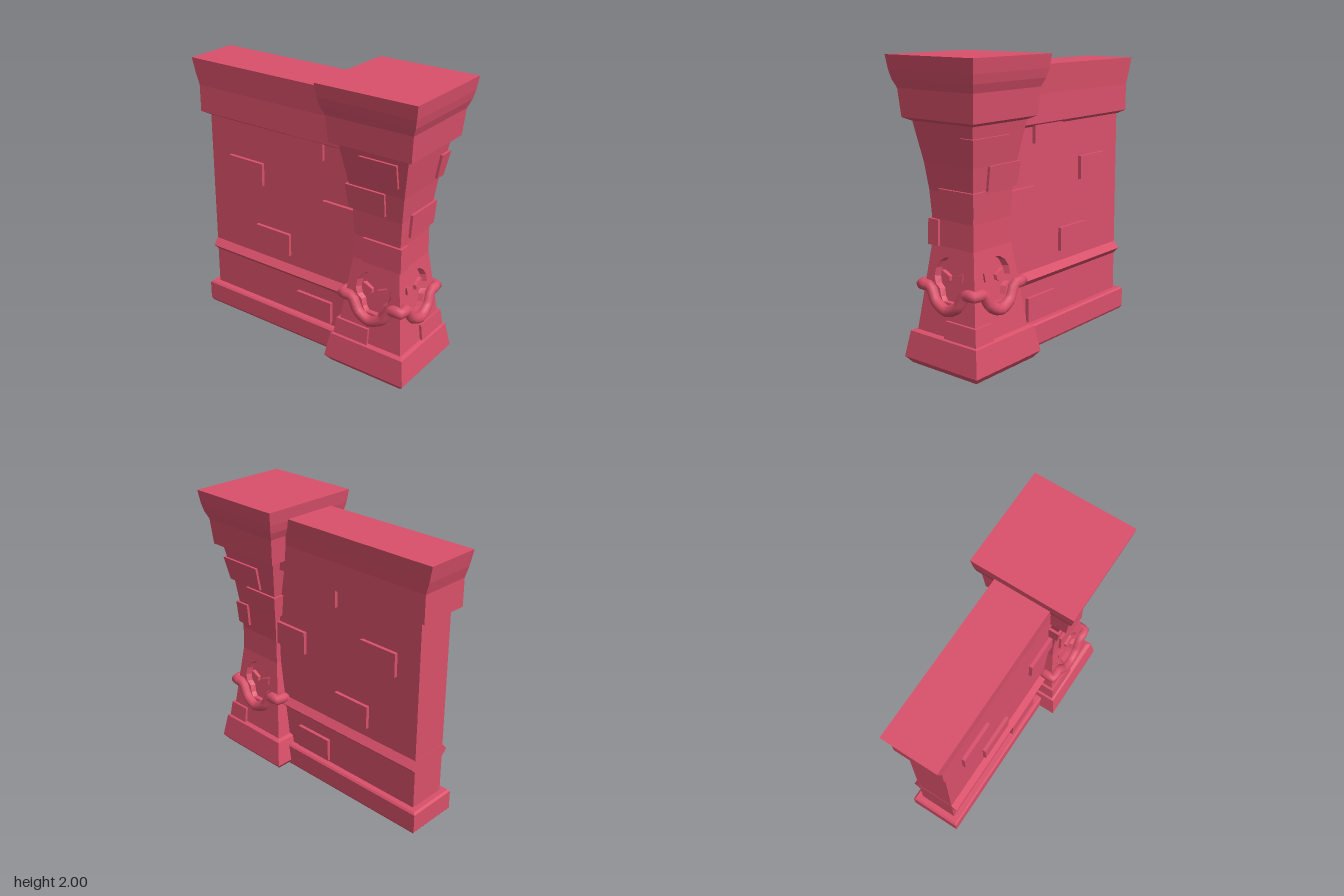
import * as THREE from 'three';

const PX = 0.587; // pillar axis
const mat = new THREE.MeshStandardMaterial({ color: 0xd9506a, flatShading: true });
const smoothMat = new THREE.MeshStandardMaterial({ color: 0xd9506a });

function add(parent, name, geometry, material = mat) {
  const mesh = new THREE.Mesh(geometry, material);
  mesh.name = name;
  parent.add(mesh);
  return mesh;
}

// Stack of rectangles, each [x0, x1, halfDepth, y], skinned and capped
function loft(rings) {
  const pos = [];
  const loops = rings.map(([a, b, h, y]) => [[a, y, h], [b, y, h], [b, y, -h], [a, y, -h]]);
  const quad = (a, b, c, d) => pos.push(...a, ...b, ...c, ...a, ...c, ...d);
  for (let i = 0; i + 1 < loops.length; i++) {
    const lo = loops[i], hi = loops[i + 1];
    for (let k = 0; k < 4; k++) {
      const n = (k + 1) % 4;
      quad(lo[k], lo[n], hi[n], hi[k]);
    }
  }
  const [p, q, r, s] = loops[0];
  quad(s, r, q, p);
  quad(...loops[loops.length - 1]);
  const g = new THREE.BufferGeometry();
  g.setAttribute('position', new THREE.Float32BufferAttribute(pos, 3));
  g.computeVertexNormals();
  return g;
}
const squareLoft = (rows) => loft(rows.map(([w, y]) => [-w, w, w, y]));

// Half width of the pillar shaft at height y
const SHAFT = [[0.256, 0.2], [0.18, 0.8], [0.176, 0.97], [0.186, 1.15], [0.207, 1.33], [0.255, 1.6]];
function shaftWidth(y) {
  for (let i = 1; i < SHAFT.length; i++) {
    const [w0, y0] = SHAFT[i - 1], [w1, y1] = SHAFT[i];
    if (y <= y1) return w0 + (w1 - w0) * (y - y0) / (y1 - y0);
  }
  return SHAFT[SHAFT.length - 1][0];
}

// Block whose outer sides follow the shaft; +-1 means "just outside the surface"
function shaftBlock(y0, y1, xs, zs) {
  const g = new THREE.BoxGeometry(1, 1, 1);
  const p = g.attributes.position;
  for (let i = 0; i < p.count; i++) {
    const y = p.getY(i) < 0 ? y0 : y1;
    const out = shaftWidth(y) + 0.018;
    const at = (range, v) => {
      const r = range[v < 0 ? 0 : 1];
      return Math.abs(r) === 1 ? r * out : r;
    };
    p.setXYZ(i, at(xs, p.getX(i)), y, at(zs, p.getZ(i)));
  }
  g.computeVertexNormals();
  return g;
}

// Extrude a shape in the plane of one sloping pillar side, between two depths
function onSlope(shape, inner, outer) {
  const g = new THREE.ExtrudeGeometry(shape, { depth: 1, bevelEnabled: false });
  const p = g.attributes.position;
  for (let i = 0; i < p.count; i++) {
    const w = shaftWidth(p.getY(i));
    const z = w + (p.getZ(i) < 0.5 ? inner : outer);
    p.setXYZ(i, p.getX(i) * z / w, p.getY(i), z);
  }
  g.computeVertexNormals();
  return g;
}
const points = (list) => list.map(([x, y]) => new THREE.Vector2(x, y));

function createWall() {
  const wall = new THREE.Group();
  wall.name = 'wall';
  add(wall, 'wallBody', loft([[-0.853, PX, 0.14, 0.1], [-0.853, PX, 0.14, 1.6]]));
  add(wall, 'wallBase', loft([
    [-0.89, PX, 0.178, 0], [-0.905, PX, 0.19, 0.02], [-0.905, PX, 0.19, 0.158], [-0.89, PX, 0.178, 0.17]]));
  add(wall, 'wallCap', loft([
    [-0.86, PX, 0.145, 1.515], [-0.905, PX, 0.185, 1.538], [-0.905, PX, 0.185, 1.73],
    [-0.93, PX, 0.19, 1.81], [-0.953, PX, 0.197, 1.92]]));
  add(wall, 'wallLedge', loft([
    [-0.855, 0.42, 0.138, 0.445], [-0.855, 0.42, 0.182, 0.49], [-0.855, 0.42, 0.138, 0.54]]));
  // Bricks run through the wall and stand proud on both faces
  const bricks = [[-0.155, 1.405], [-0.673, 1.09], [0.14, 0.958], [-0.445, 0.613], [-0.085, 0.19]];
  for (const [x, y] of bricks) {
    const brick = add(wall, 'wallBrick', new THREE.BoxGeometry(0.296, 0.166, 0.33));
    brick.position.set(x + 0.148, y + 0.083, 0);
  }
  return wall;
}

function createPillar() {
  const pillar = new THREE.Group();
  pillar.name = 'pillar';
  pillar.position.x = PX;
  add(pillar, 'pillarBase', squareLoft([[0.28, 0], [0.316, 0.045], [0.286, 0.22], [0.26, 0.23]]));
  add(pillar, 'pillarShaft', squareLoft(SHAFT.slice(1)));
  add(pillar, 'pillarCore', squareLoft([[0.256 - 0.035, 0.2], [0.18 - 0.035, 0.8]]));
  add(pillar, 'pillarCap', squareLoft([
    [0.255, 1.592], [0.3, 1.615], [0.315, 1.795], [0.338, 1.85], [0.352, 1.91], [0.364, 2]]));

  // Lower sides with a skull-shaped recess and raised eyes
  const half = [[0.055, 0.732], [0.1, 0.702], [0.13, 0.655], [0.138, 0.6], [0.122, 0.555],
    [0.085, 0.53], [0.068, 0.48], [0.045, 0.452]];
  const mirror = (list) => list.map(([x, y]) => [-x, y]);
  const outline = [[0, 0.743], ...half, ...mirror(half).reverse()];
  const panel = new THREE.Shape(points([[-0.256, 0.2], [0.256, 0.2], [0.18, 0.8], [-0.18, 0.8]]));
  panel.holes.push(new THREE.Path(points(outline)));
  const eye = [[0.098, 0.645], [0.02, 0.615], [0.02, 0.585], [0.055, 0.57], [0.095, 0.59]];
  const panelGeo = onSlope(panel, -0.035, 0);
  const eyeGeos = [eye, mirror(eye)].map((e) => onSlope(new THREE.Shape(points(e)), -0.045, -0.012));
  for (let k = 0; k < 4; k++) {
    const side = new THREE.Group();
    side.name = 'skullSide';
    side.rotation.y = k * Math.PI / 2;
    add(side, 'skullPanel', panelGeo);
    eyeGeos.forEach((g) => add(side, 'skullEye', g));
    pillar.add(side);
  }

  // Bricks: bottom, top, x range, z range
  const bricks = [
    [1.40, 1.56, [-0.1, 0.175], [0.1, 1]],
    [1.17, 1.33, [-1, 0.07], [-1, 1]],
    [0.80, 0.97, [-0.1, 1], [0.107, 1]],
    [0.21, 0.34, [-1, 0], [0.1, 1]],
    [0.21, 0.34, [0.1, 1], [-1, 0]],
    [1.015, 1.175, [0.09, 1], [-1, 0.09]],
    [1.35, 1.515, [-0.08, 1], [-1, -0.15]],
  ];
  for (const b of bricks) add(pillar, 'pillarBrick', shaftBlock(...b));

  // Rope hung from the four corners, sagging on every side
  const sag = [[-0.228, 0.535], [-0.15, 0.53], [-0.095, 0.445], [0, 0.402], [0.095, 0.445], [0.15, 0.53]];
  const path = [];
  for (let k = 0; k < 4; k++) {
    for (const [x, y] of sag) {
      const z = x < -0.2 ? 0.228 : shaftWidth(y) + 0.012;
      path.push(new THREE.Vector3(x, y, z).applyAxisAngle(new THREE.Vector3(0, 1, 0), k * Math.PI / 2));
    }
  }
  const curve = new THREE.CatmullRomCurve3(path, true, 'catmullrom', 0.35);
  add(pillar, 'rope', new THREE.TubeGeometry(curve, 72, 0.038, 10, true), smoothMat);
  return pillar;
}

export function createModel() {
  const model = new THREE.Group();
  model.name = 'wallWithPillar';
  model.add(createWall(), createPillar());
  return model;
}
